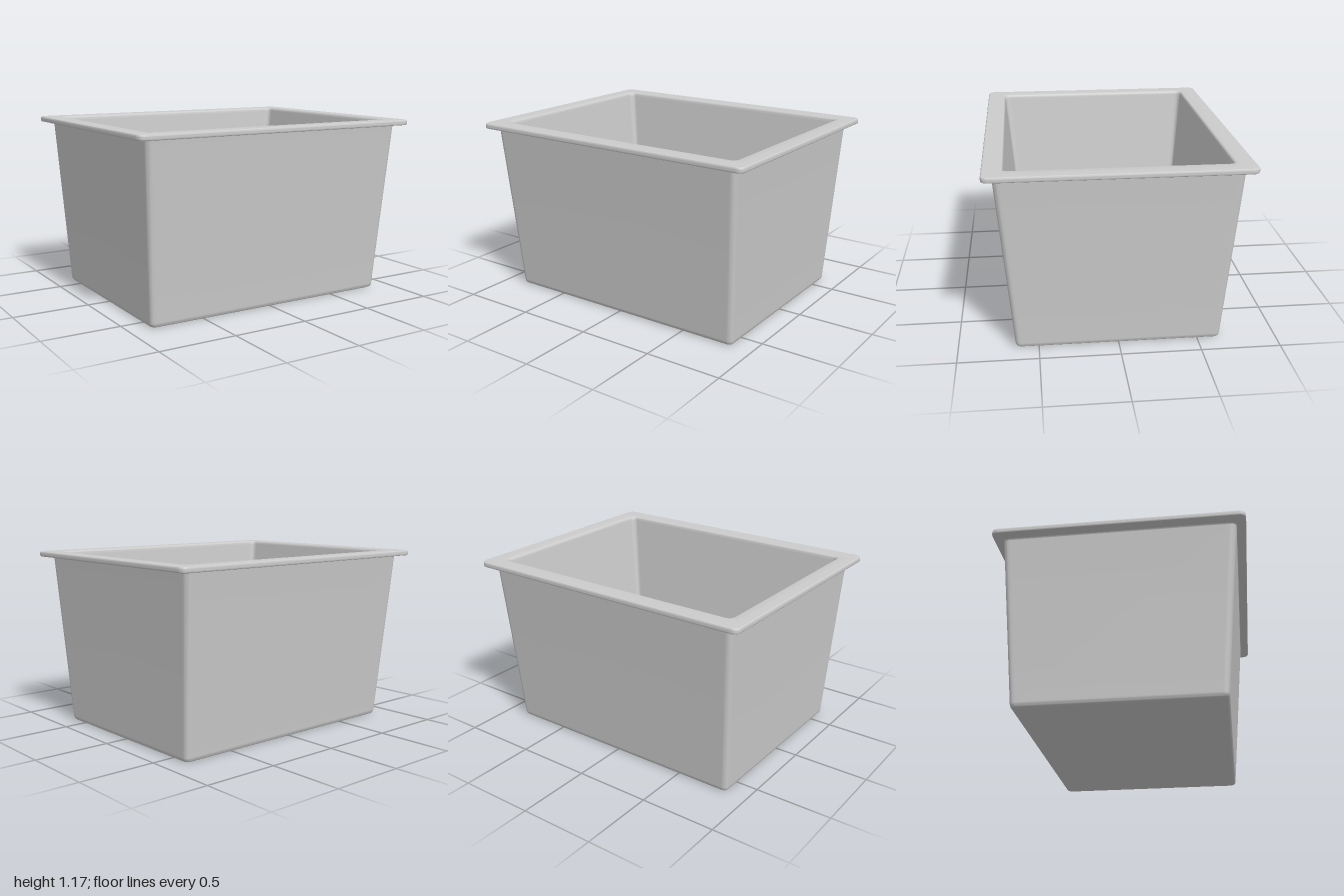
import * as THREE from 'three';
import { toCreasedNormals } from 'three/addons/utils/BufferGeometryUtils.js';

const material = new THREE.MeshStandardMaterial({ color: 0xcccccc });
const CORNER_STEPS = 6, BEVEL_STEPS = 5;

// Rounded rectangle of half sizes x, z at height y with corner radius w
function ring({ x, y, z, w: r }) {
  const points = [], hold = x > 0 ? 0.01 : 0;
  for (let k = 0; k < 4; k++) {
    const sx = k === 0 || k === 3 ? 1 : -1, sz = k < 2 ? 1 : -1;
    const add = (t, shift) => {
      const a = (k + t) * Math.PI / 2, c = Math.cos(a), s = Math.sin(a);
      points.push(new THREE.Vector3(sx * (x - r) + r * c - shift * s, y, sz * (z - r) + r * s + shift * c));
    };
    add(0, -hold); // extra points keep the long sides flat
    for (let i = 0; i <= CORNER_STEPS; i++) add(i / CORNER_STEPS, 0);
    add(1, hold);
  }
  return points;
}

// Profile stations [halfX, halfZ, y, cornerRadius, bevel], rounding each bevelled one
function bevelled(stations) {
  const v = stations.map(([hx, hz, y, r]) => new THREE.Vector4(hx, y, hz, r));
  const out = [];
  v.forEach((p, i) => {
    const b = stations[i][4] || 0;
    if (!b) return out.push(p);
    const toward = (q, d) => p.clone().addScaledVector(q.clone().sub(p).normalize(), d);
    const [a, c] = [v[i - 1], v[i + 1]];
    out.push(toward(a, b + 0.004));
    for (let k = 0; k <= BEVEL_STEPS; k++) {
      const t = k / BEVEL_STEPS;
      out.push(toward(a, b).multiplyScalar((1 - t) ** 2)
        .addScaledVector(p, 2 * t * (1 - t)).addScaledVector(toward(c, b), t * t));
    }
    out.push(toward(c, b + 0.004));
  });
  return out;
}

// Surface through the rings of a profile
function loft(name, stations) {
  const profile = bevelled(stations), rings = profile.map(ring), tris = [];
  const n = rings[0].length;
  for (let j = 0; j < rings.length - 1; j++) {
    for (let i = 0; i < n; i++) {
      const k = (i + 1) % n;
      const [a, b, c, d] = [rings[j][i], rings[j + 1][i], rings[j][k], rings[j + 1][k]];
      if (profile[j].x > 0) tris.push(a, b, c);
      if (profile[j + 1].x > 0) tris.push(c, b, d);
    }
  }
  const geometry = toCreasedNormals(new THREE.BufferGeometry().setFromPoints(tris), 0.6);
  const mesh = new THREE.Mesh(geometry, material);
  mesh.name = name;
  return mesh;
}

export function createModel() {
  const group = new THREE.Group();
  group.name = 'storageTub';

  // Tapered outside, from the middle of the base up to the underside of the rim
  group.add(loft('outerShell', [
    [0, 0, 0, 0],
    [0.76, 0.54, 0, 0.03],
    [0.863, 0.643, 0, 0.03, 0.028],
    [0.925, 0.74, 1.138, 0.035, 0.012],
    [0.962, 0.77, 1.138, 0.038],
  ]));

  // Overhanging rim with rounded edges
  group.add(loft('rim', [
    [0.962, 0.77, 1.138, 0.038],
    [1, 0.8, 1.138, 0.04, 0.01],
    [1, 0.8, 1.173, 0.04, 0.014],
    [0.945, 0.743, 1.173, 0.04],
  ]));

  // Steeper inside walls down to the flat floor
  group.add(loft('interior', [
    [0.945, 0.743, 1.173, 0.04],
    [0.882, 0.675, 1.173, 0.035, 0.022],
    [0.735, 0.573, 0.06, 0.01],
    [0, 0, 0.06, 0],
  ]));
  return group;
}
